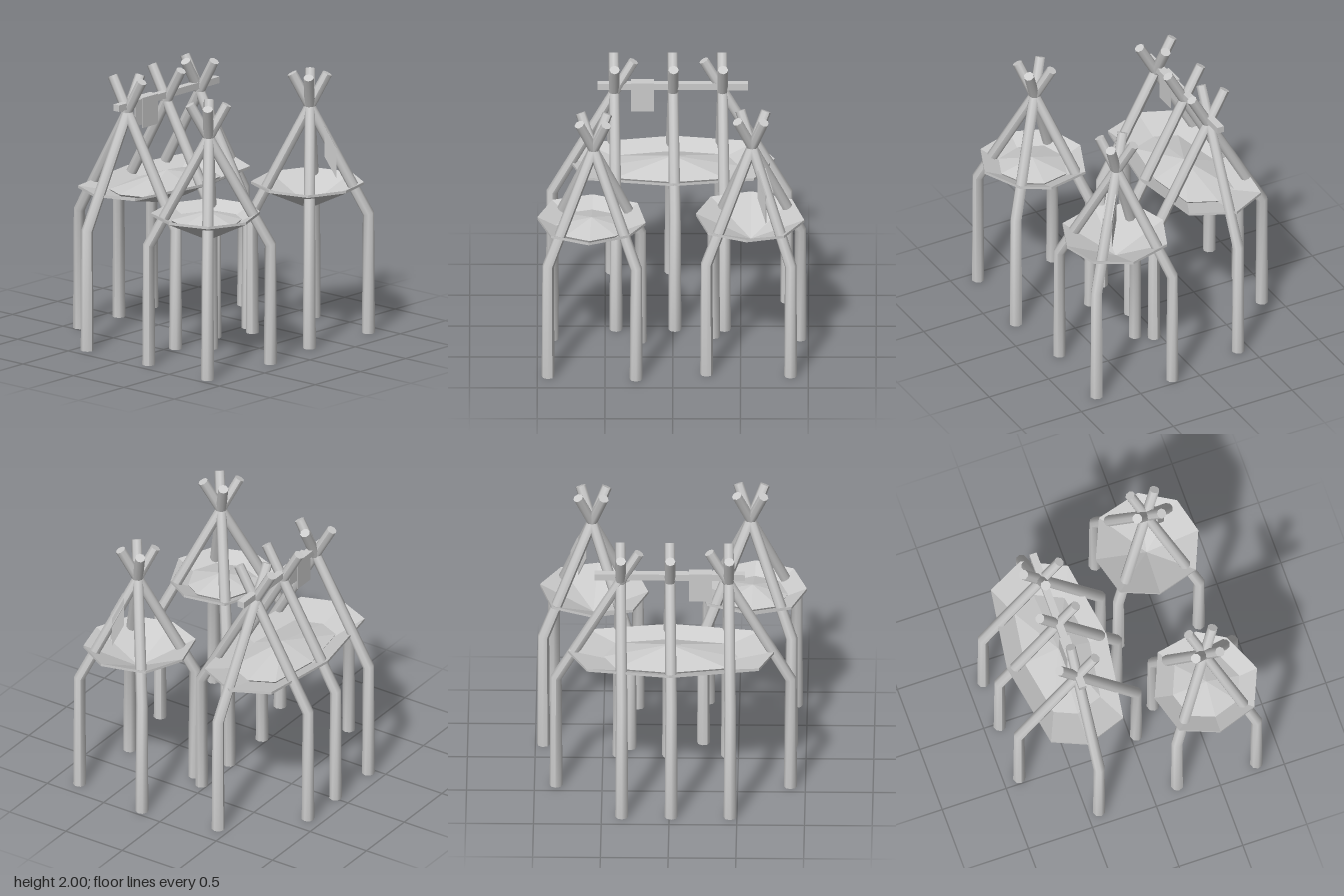
import * as THREE from 'three';

const material = new THREE.MeshStandardMaterial({ color: 0xcccccc });
const flat = new THREE.MeshStandardMaterial({ color: 0xcccccc, flatShading: true });

function add(parent, geometry, name, mat = material) {
  const mesh = new THREE.Mesh(geometry, mat);
  mesh.name = name;
  parent.add(mesh);
  return mesh;
}

// Bent pole: upright from the foot to the knee, then leaning through the crossing point
function pole(parent, foot, cross) {
  const knee = 0.91, topY = 1.98, crossY = 1.73;
  const start = new THREE.Vector3(foot[0], 0, foot[1]);
  const run = new THREE.Vector3(cross[0] - foot[0], 0, cross[1] - foot[1]);
  const tilt = Math.atan2(run.length(), crossY - knee);
  const dir = run.clone().normalize();
  const side = new THREE.Vector3().crossVectors(dir, new THREE.Vector3(0, 1, 0));
  const reach = run.length() * (topY - knee) / (crossY - knee);
  const geometry = new THREE.CylinderGeometry(0.038, 0.048, 1, 8, 2);
  const pos = geometry.attributes.position;
  const p = new THREE.Vector3();
  for (let i = 0; i < pos.count; i++) {
    const u = pos.getX(i), v = pos.getZ(i), h = pos.getY(i);
    const [y, out, t] = h > 0.25 ? [topY, reach, tilt] : h > -0.25 ? [knee, 0, tilt / 2] : [0, 0, 0];
    p.copy(start).addScaledVector(dir, out + u * Math.cos(t)).addScaledVector(side, v);
    p.y = y - u * Math.sin(t);
    pos.setXYZ(i, p.x, p.y, p.z);
  }
  geometry.computeVertexNormals();
  add(parent, geometry, 'pole');
}

// Faceted solid: the outline is scaled about the centre at each [scale, y] of the profile
function faceted(outline, [cx, cz], profile) {
  const verts = [];
  const put = (j, k) => {
    const [s, y] = profile[j], [x, z] = outline[k % outline.length];
    verts.push(cx + (x - cx) * s, y, cz + (z - cz) * s);
  };
  for (let j = 0; j < profile.length - 1; j++) {
    for (let k = 0; k < outline.length; k++) {
      if (profile[j][0] > 0) { put(j, k); put(j, k + 1); put(j + 1, k); }
      if (profile[j + 1][0] > 0) { put(j, k + 1); put(j + 1, k + 1); put(j + 1, k); }
      else if (profile[j][0] === 0) continue;
    }
  }
  const geometry = new THREE.BufferGeometry();
  geometry.setAttribute('position', new THREE.Float32BufferAttribute(verts, 3));
  geometry.computeVertexNormals();
  return geometry;
}

// Shallow dish, with an optional low heap inside it
function dish(parent, outline, centre, heapTop) {
  add(parent, faceted(outline, centre, [[0, 0.97], [1, 1.16], [1, 1.14], [0, 0.95]]), 'dish', flat);
  if (heapTop) {
    add(parent, faceted(outline, centre, [[0, heapTop], [0.65, 1.105], [0.6, 1.07], [0, 1.0]]), 'heap', flat);
  }
}

// Cloth folded over a bar along local x, sheared to follow a falling bar
function cloth(parent, width, slope) {
  const group = new THREE.Group();
  group.name = 'cloth';
  const panels = [
    [0.23, 0.006, -0.115, 0.036],
    [0.23, 0.006, -0.115, -0.036],
    [0.006, 0.07, -0.003, 0],
  ];
  for (const [h, d, y, z] of panels) {
    const geometry = new THREE.BoxGeometry(width, h, d).translate(0, y, z);
    const pos = geometry.attributes.position;
    for (let i = 0; i < pos.count; i++) pos.setY(i, pos.getY(i) - slope * pos.getX(i));
    geometry.computeVertexNormals();
    add(group, geometry, 'clothPanel');
  }
  parent.add(group);
  return group;
}

function named(parent, name) {
  const group = new THREE.Group();
  group.name = name;
  parent.add(group);
  return group;
}

export function createModel() {
  const model = new THREE.Group();
  model.name = 'poleStands';

  // Round stand on the right, with a heap
  const right = named(model, 'rightStand');
  for (const foot of [[-0.89, 0.2], [-0.24, 0.24], [-0.92, 0.81], [-0.27, 0.85]]) pole(right, foot, [-0.585, 0.52]);
  dish(right, [
    [-0.2, 0.59], [-0.32, 0.79], [-0.62, 0.92], [-0.9, 0.8],
    [-1.0, 0.5], [-0.89, 0.22], [-0.59, 0.13], [-0.26, 0.27],
  ], [-0.6, 0.53], 1.175);

  // Round stand on the left, with a cloth hung on one pole
  const left = named(model, 'leftStand');
  for (const foot of [[0.3, 0.16], [0.94, 0.2], [0.25, 0.77], [0.87, 0.8]]) pole(left, foot, [0.585, 0.475]);
  dish(left, [
    [0.97, 0.545], [0.82, 0.8], [0.545, 0.87], [0.26, 0.75],
    [0.17, 0.44], [0.28, 0.165], [0.58, 0.08], [0.88, 0.21],
  ], [0.575, 0.475], 0);
  const hung = cloth(left, 0.09, 1.9);
  hung.position.set(0.685, 1.5, 0.59);
  hung.rotation.y = -Math.atan2(0.325, 0.285);

  // Long stand at the back: three pole pairs and a leaning pole at each end
  const back = named(model, 'backStand');
  for (const x of [-0.435, 0, 0.365]) {
    pole(back, [x + 0.015, 0.045], [x, -0.42]);
    pole(back, [x - 0.015, -0.88], [x, -0.42]);
  }
  pole(back, [-0.89, -0.41], [-0.43, -0.42]);
  pole(back, [0.84, -0.41], [0.37, -0.43]);
  dish(back, [
    [0.75, -0.45], [0.6, -0.13], [0, -0.04], [-0.66, -0.14],
    [-0.77, -0.45], [-0.66, -0.705], [0, -0.82], [0.61, -0.73],
  ], [0, -0.42], 1.2);
  add(back, new THREE.BoxGeometry(1.11, 0.05, 0.055), 'ridgeBeam').position.set(0, 1.78, -0.42);
  cloth(back, 0.17, 0).position.set(-0.225, 1.815, -0.42);

  return model;
}
